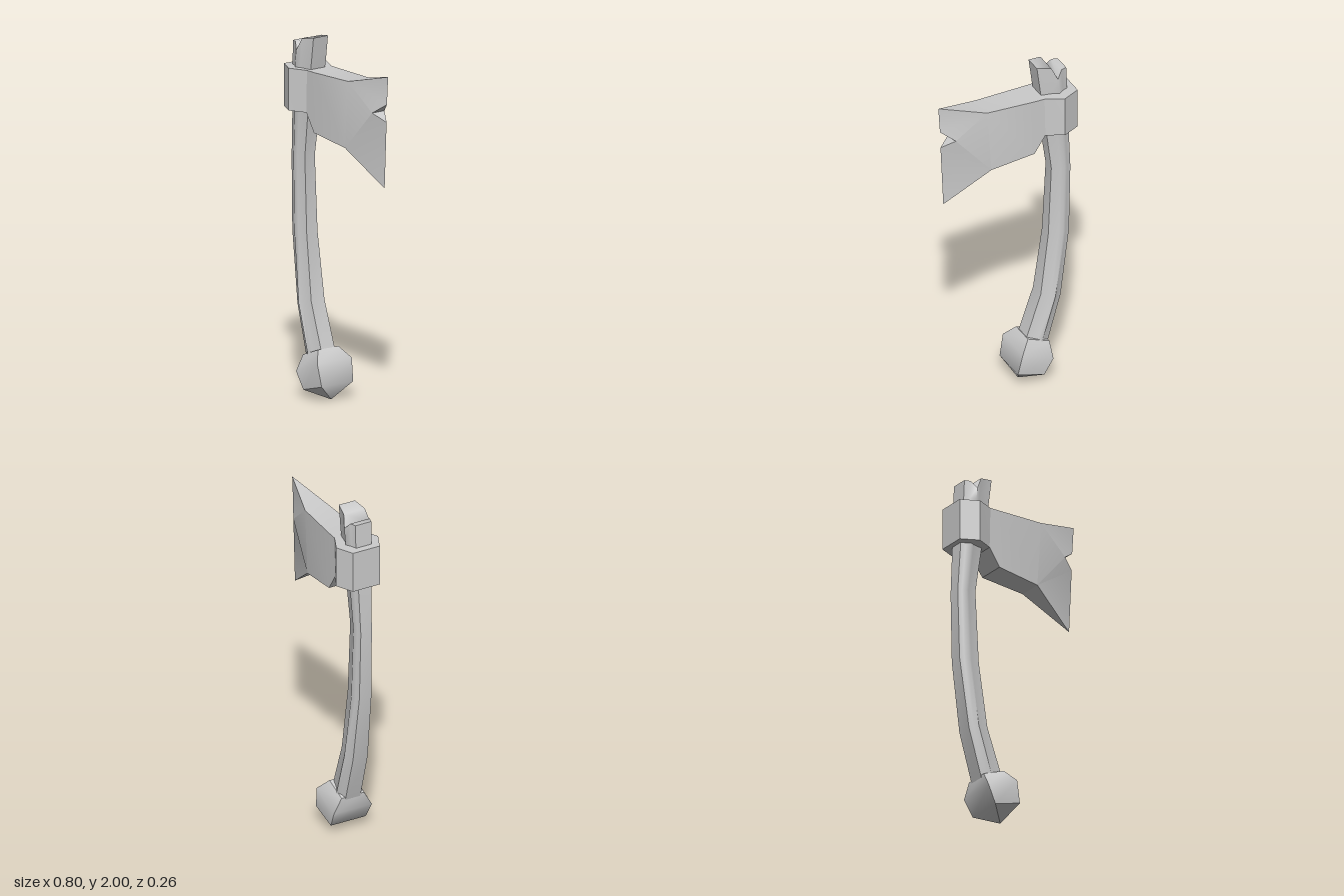
import * as THREE from 'three';
import { toCreasedNormals } from 'three/addons/utils/BufferGeometryUtils.js';

const material = new THREE.MeshStandardMaterial({ color: 0xcccccc });

function makeMesh(name, points, index, crease) {
  const geometry = new THREE.BufferGeometry();
  geometry.setAttribute('position', new THREE.Float32BufferAttribute(points.flat(), 3));
  geometry.setIndex(index);
  const mesh = new THREE.Mesh(toCreasedNormals(geometry, crease), material);
  mesh.name = name;
  return mesh;
}

// Joins rings of equal size; rings run counter-clockwise seen from the last one
function loft(rings, startCap, endCap) {
  const n = rings[0].length, index = [];
  for (let r = 0; r < rings.length - 1; r++) {
    for (let i = 0; i < n; i++) {
      const a = r * n + i, b = r * n + (i + 1) % n;
      index.push(a, b, b + n, a, b + n, a + n);
    }
  }
  const last = (rings.length - 1) * n;
  for (let i = 0; i < n / 2 - 1; i++) {
    const [a, b, c, d] = [i, i + 1, n - 2 - i, n - 1 - i];
    if (startCap) index.push(a, c, b, a, d, c);
    if (endCap) index.push(last + a, last + b, last + c, last + a, last + c, last + d);
  }
  return { points: rings.flat(), index };
}

// Adds the mirrored back half of a half ring
const mirrorRing = (half) => [...half, ...half.map(([x, y, z]) => [x, y, -z]).reverse()];

function createHandle() {
  // Across the section from right to left: position and share of the depth
  const section = [[1, 0.62], [0.55, 0.82], [0.38, 1], [0.2, 0.75], [0, 0.62]];
  // left x, left y, right x, right y, half depth
  const stations = [
    [-0.24, 0.22, -0.11, 0.27, 0.075],
    [-0.32, 0.50, -0.20, 0.53, 0.073],
    [-0.375, 0.90, -0.25, 0.90, 0.06],
    [-0.385, 1.30, -0.27, 1.32, 0.055],
    [-0.37, 1.58, -0.235, 1.58, 0.065],
    [-0.357, 1.85, -0.195, 1.85, 0.08],
  ];
  const rings = stations.map(([lx, ly, rx, ry, d]) =>
    mirrorRing(section.map(([t, s]) => [lx + (rx - lx) * t, ly + (ry - ly) * t, -d * s])));
  // Broken, notched top end
  const top = [[-0.175, 2], [-0.255, 1.985], [-0.287, 1.915], [-0.318, 1.955], [-0.352, 1.955]];
  rings.push(mirrorRing(top.map(([x, y], i) => [x, y, -0.08 * section[i][1]])));
  const { points, index } = loft(rings, true, true);
  return makeMesh('handle', points, index, 1.2);
}

function createPommel() {
  // left x, left y, right x, right y, half depth, from the tip upward
  const stations = [
    [-0.085, 0.005, -0.085, 0.005, 0],
    [-0.19, 0.055, -0.03, 0.10, 0.108],
    [-0.24, 0.15, -0.055, 0.225, 0.118],
    [-0.24, 0.235, -0.11, 0.285, 0.07],
  ];
  const rings = stations.map(([lx, ly, rx, ry, d]) => mirrorRing([[rx, ry, -d], [lx, ly, -d]]));
  const { points, index } = loft(rings, false, true);
  return makeMesh('pommel', points, index, 0.75);
}

function createAxeHead() {
  const mid = -0.008;
  // top x, top y, bottom x, bottom y, half depth, from the collar to the blade
  const stations = [
    [-0.40, 1.82, -0.40, 1.585, 0.083],
    [-0.30, 1.82, -0.30, 1.585, 0.13],
    [-0.20, 1.82, -0.205, 1.585, 0.083],
    [-0.14, 1.82, -0.14, 1.485, 0.082],
    [0.14, 1.825, 0.115, 1.45, 0.07],
  ];
  const rings = stations.map(([tx, ty, bx, by, d]) => [
    [tx, ty, mid - d], [tx, ty, mid + d], [bx, by, mid + d], [bx, by, mid - d]]);
  const { points, index } = loft(rings, true, false);

  // Sharp edge with a notch
  const n = points.length;
  const [pb, pf, qf, qb] = [n - 4, n - 3, n - 2, n - 1];
  const [tip, upper, innerF, innerB, lower, heel] = [n, n + 1, n + 2, n + 3, n + 4, n + 5];
  points.push([0.4, 1.89, mid], [0.39, 1.735, mid], [0.315, 1.68, mid + 0.042],
    [0.315, 1.68, mid - 0.042], [0.387, 1.635, mid], [0.37, 1.265, mid]);
  const front = (p, q, inner) => [
    [p, upper, tip], [p, inner, upper], [p, q, inner], [q, lower, inner], [q, heel, lower]];
  index.push(
    ...front(pf, qf, innerF).flat(),
    ...front(pb, qb, innerB).map((t) => t.reverse()).flat(),
    pf, tip, pb, qb, heel, qf,
    innerF, lower, innerB, innerB, upper, innerF);
  return makeMesh('axeHead', points, index, 0.4);
}

export function createModel() {
  const group = new THREE.Group();
  group.name = 'axe';
  group.add(createHandle(), createPommel(), createAxeHead());
  return group;
}
